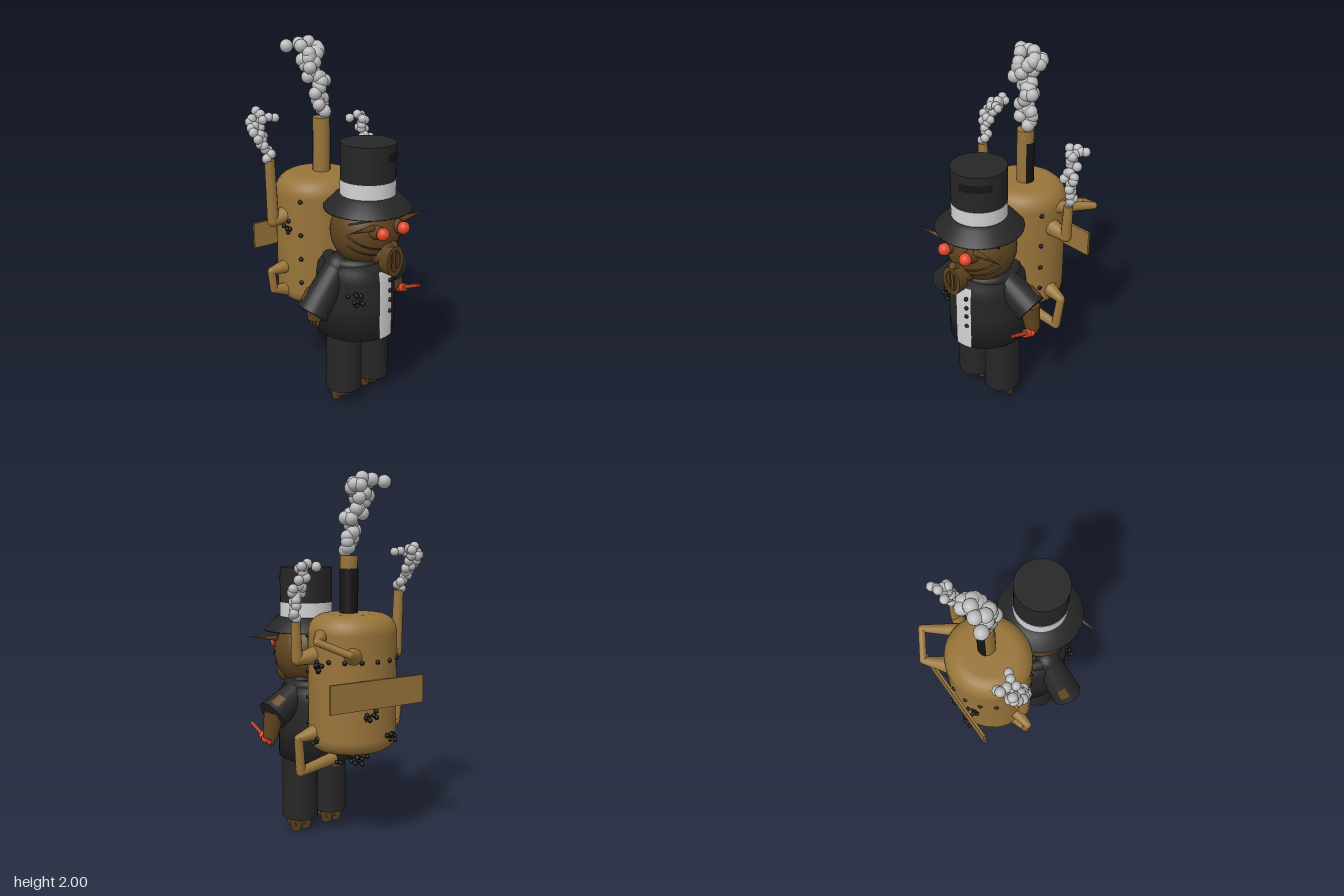
import * as THREE from 'three';

const paint = (name, color, side = THREE.FrontSide) => {
  const m = new THREE.MeshStandardMaterial({ color, side });
  m.name = name;
  return m;
};
const V = (a) => new THREE.Vector3(...a);
const UP = new THREE.Vector3(0, 1, 0);

export function createModel() {
  const brass = paint('brass', 0x98743a, THREE.DoubleSide);
  const brown = paint('dark bronze', 0x5e431f, THREE.DoubleSide);
  const black = paint('black cloth', 0x262626, THREE.DoubleSide);
  const soot = paint('soot', 0x151515, THREE.DoubleSide);
  const white = paint('white cloth', 0xd2d2d2, THREE.DoubleSide);
  const smoke = paint('smoke', 0xbcbcbc);
  const red = paint('glowing red', 0xe2472a);
  const rust = paint('rust red', 0xb03a22);
  const seam = paint('seam', 0x3c2912);

  const root = new THREE.Group();
  const add = (name, geo, mat, pos = [0, 0, 0], parent = root) => {
    const m = new THREE.Mesh(geo, mat);
    m.name = name;
    m.position.set(...pos);
    parent.add(m);
    return m;
  };
  const group = (name, pos = [0, 0, 0]) => {
    const g = new THREE.Group();
    g.name = name;
    g.position.set(...pos);
    root.add(g);
    return g;
  };
  const ball = (name, r, mat, pos, parent, seg = 12) =>
    add(name, new THREE.SphereGeometry(r, seg, Math.ceil(seg * 0.7)), mat, pos, parent);
  // tapered rod from p to q
  const rod = (name, p, q, r0, r1, mat, parent = root, sides = 20) => {
    const a = V(p), d = V(q).sub(a);
    const m = add(name, new THREE.CylinderGeometry(r1, r0, d.length(), sides), mat,
      a.clone().addScaledVector(d, 0.5).toArray(), parent);
    m.quaternion.setFromUnitVectors(UP, d.normalize());
    return m;
  };
  // chain of rods with rounded joints
  const pipe = (name, pts, radii, mat = brass) => {
    const g = group(name);
    for (let i = 0; i < pts.length - 1; i++) {
      rod(name + 'Section', pts[i], pts[i + 1], radii[i], radii[i + 1], mat, g, 12);
      if (i) ball(name + 'Joint', radii[i], mat, pts[i], g);
    }
  };
  const lathe = (pts, start = 0, len = Math.PI * 2, seg = 40) =>
    new THREE.LatheGeometry(pts.map((p) => new THREE.Vector2(...p)), seg, start, len);
  const bend = (r, h, start, len) => new THREE.CylinderGeometry(r, r, h, 16, 1, true, start, len);
  let seed = 7;
  const rand = () => (seed = (seed * 16807) % 2147483647) / 2147483647 - 0.5;

  // boiler tank with rounded ends
  const T = { x: 0, z: -0.17, rx: 0.245, rz: 0.23 };
  const profile = [[0, 0.53]];
  for (const [cy, a0] of [[0.61, -90], [1.165, 0]])
    for (let i = 0; i <= 6; i++) {
      const a = THREE.MathUtils.degToRad(a0 + i * 15), k = cy > 1 ? 0.1 : 0.08;
      profile.push([0.245 - k + k * Math.cos(a), cy + k * Math.sin(a)]);
    }
  profile.push([0, 1.268]);
  add('boilerTank', lathe(profile), brass, [T.x, 0, T.z]).scale.z = T.rz / T.rx;
  const onTank = (deg, y, out = 0) => {
    const a = THREE.MathUtils.degToRad(deg);
    return [T.x + (T.rx + out) * Math.sin(a), y, T.z + (T.rz + out) * Math.cos(a)];
  };

  // rivets and soot clumps on the tank
  const rivets = group('rivets');
  for (let d = 90; d <= 280; d += 21) ball('rivet', 0.013, soot, onTank(d, 1.03), rivets, 8);
  for (const d of [62, -62])
    for (const y of [0.68, 0.82, 0.96, 1.15]) ball('rivet', 0.013, soot, onTank(d, y), rivets, 8);
  const clump = (name, c, n = 11, s = 0.055) => {
    const g = group(name, c);
    for (let i = 0; i < n; i++) ball('sootBall', 0.013, soot, [rand() * s, rand() * s, rand() * s], g, 8);
  };
  [[98, 1.0], [88, 0.62], [165, 0.75], [195, 0.62], [-80, 0.98], [205, 0.9]].forEach(([d, y]) => clump('sootClump', onTank(d, y)));
  clump('sootClump', [0.08, 0.52, -0.22], 24, 0.1);
  clump('sootClump', [0.05, 0.53, -0.32], 16, 0.08);
  clump('coatPosy', [-0.145, 0.69, 0.305], 16, 0.07);

  // backboard
  add('backBoard', new THREE.BoxGeometry(0.59, 0.15, 0.014), brass, [0.028, 0.865, -0.405]).rotation.y = -0.102;

  // chimneys
  rod('mainChimney', [0.018, 1.22, -0.16], [0.018, 1.567, -0.16], 0.047, 0.047, brass);
  add('chimneyScorch', bend(0.05, 0.24, Math.PI * 0.25, Math.PI), soot, [0.018, 1.38, -0.16]);
  pipe('rightChimney', [[-0.2, 1.06, -0.18], [-0.305, 1.03, -0.19], [-0.317, 1.375, -0.19]], [0.055, 0.032, 0.028]);
  pipe('leftChimney', [[0.2, 1.06, -0.14], [0.335, 1.04, -0.125], [0.342, 1.235, -0.125]], [0.055, 0.03, 0.025]);

  // bent handles
  pipe('upperHandle', [[0.2, 1.16, -0.16], [0.365, 1.155, -0.33], [0.24, 1.09, -0.43], [0.13, 1.06, -0.33]],
    [0.04, 0.02, 0.02, 0.05]);
  pipe('leftLowerHandle', [[0.2, 0.65, -0.14], [0.325, 0.62, -0.12], [0.305, 0.435, -0.11], [0.08, 0.47, -0.11]],
    [0.05, 0.024, 0.026, 0.035]);
  pipe('rightLowerHandle', [[-0.2, 0.75, -0.18], [-0.335, 0.745, -0.18], [-0.32, 0.63, -0.18], [-0.2, 0.6, -0.18]],
    [0.045, 0.022, 0.022, 0.045]);

  // smoke plumes following a curve
  const plume = (name, pts, n, r, s0, s1) => {
    const g = group(name), c = new THREE.CatmullRomCurve3(pts.map(V));
    for (let i = 0; i < n; i++) {
      const t = i / (n - 1), s = s0 + (s1 - s0) * t, p = c.getPoint(t);
      ball('puff', r, smoke, [p.x + rand() * s, p.y + rand() * s * 0.3, p.z + rand() * s * 0.6], g, 14);
    }
  };
  plume('mainSmoke', [[0.02, 1.59, -0.16], [0.01, 1.74, -0.17], [-0.01, 1.86, -0.19], [-0.02, 1.945, -0.24]], 36, 0.036, 0.05, 0.16);
  for (const p of [[-0.118, 1.945, -0.28], [-0.05, 1.955, -0.26], [0.0, 1.962, -0.24], [0.055, 1.91, -0.22]])
    ball('smokePuff', 0.036, smoke, p, root, 14);
  plume('rightSmoke', [[-0.315, 1.39, -0.2], [-0.34, 1.49, -0.24], [-0.33, 1.56, -0.29], [-0.3, 1.6, -0.32]], 24, 0.026, 0.05, 0.1);
  plume('rightSmokeTip', [[-0.31, 1.58, -0.25], [-0.27, 1.59, -0.25], [-0.24, 1.585, -0.235]], 3, 0.024, 0, 0);
  plume('leftSmoke', [[0.342, 1.25, -0.125], [0.335, 1.37, -0.13], [0.33, 1.47, -0.16], [0.31, 1.54, -0.19]], 24, 0.026, 0.04, 0.1);
  ball('smokePuff', 0.025, smoke, [0.37, 1.52, -0.215], root, 14);

  // trousers and feet
  for (const [side, x] of [['right', -0.09], ['left', 0.12]]) {
    const leg = add(side + 'Trouser', new THREE.CylinderGeometry(0.096, 0.1, 0.4, 28), black, [x, 0.28, 0.148]);
    leg.scale.z = 1.06;
    add('trouserTear', bend(0.1, 0.05, 2.7, 0.6), brown, [0, 0.1, 0], leg);
    const foot = group(side + 'Foot', [x + (x < 0 ? -0.005 : 0.008), 0, 0.145]);
    for (const dx of [-0.035, 0.03])
      add('toeWedge', new THREE.CylinderGeometry(0.05, 0.028, 0.1, 5), brown, [dx, 0.05, -0.01], foot);
    add('heel', new THREE.BoxGeometry(0.11, 0.05, 0.08), brown, [0, 0.06, 0], foot);
  }

  // coat, shirt front and buttons
  const coatShape = [[0.214, 0.43], [0.214, 0.62], [0.21, 0.76], [0.2, 0.82], [0.17, 0.86], [0, 0.87]];
  const coat = group('coat', [0.003, 0, 0.138]);
  coat.scale.z = 1.06;
  add('coatBody', lathe([[0, 0.43], ...coatShape]), black, [0, 0, 0], coat);
  add('shirtFront', lathe(coatShape.slice(0, 4).map(([r, y]) => [r + 0.005, y]), -0.14, 0.46, 10), white, [0, 0, 0], coat);
  for (const y of [0.58, 0.645, 0.7, 0.76]) ball('button', 0.012, soot, [0.045, y, 0.214], coat, 8);
  const collar = add('collar', new THREE.TorusGeometry(0.15, 0.035, 10, 32), black, [0.005, 0.845, 0.14]);
  collar.rotation.x = Math.PI / 2;

  // sleeves with worn patches, forearms and fingers
  const sleeve = (side, p, q, patchAngle) => {
    const s = rod(side + 'Sleeve', p, q, 0.072, 0.09, black);
    add('wornPatch', bend(0.09, 0.07, patchAngle - 0.3, 0.6), brown, [0, 0.07, 0], s);
    ball(side + 'Shoulder', 0.078, black, p, root, 20);
  };
  sleeve('right', [-0.13, 0.82, 0.145], [-0.32, 0.6, 0.147], 2.1);
  sleeve('left', [0.1, 0.83, 0.145], [0.315, 0.695, 0.135], 4.2);
  const hand = (side, p, q) => {
    rod(side + 'Forearm', p, q, 0.06, 0.042, brown, root, 8);
    for (const dz of [-0.025, 0, 0.025])
      rod(side + 'Finger', [q[0], q[1] + 0.02, q[2] + dz], [q[0], q[1] - 0.035, q[2] + dz], 0.018, 0.008, brown, root, 6);
  };
  hand('right', [-0.29, 0.65, 0.147], [-0.3, 0.565, 0.15]);
  hand('left', [0.3, 0.71, 0.135], [0.328, 0.57, 0.14]);

  // red wand
  rod('wand', [0.333, 0.54, 0.115], [0.333, 0.625, 0.315], 0.014, 0.01, rust, root, 10);
  rod('wandGuard', [0.333, 0.568, 0.185], [0.333, 0.58, 0.212], 0.026, 0.022, red, root, 10);
  ball('wandPommel', 0.026, red, [0.338, 0.565, 0.165]);

  // head with seams, eyes and pointed brows
  const head = ball('head', 0.197, brown, [0.017, 1.02, 0.2], root, 36);
  head.scale.set(1, 0.98, 0.93);
  for (const [y, dip] of [[0.02, -0.09], [-0.04, -0.08], [0.08, 0.04]]) {
    const pts = [];
    for (let i = -6; i <= 6; i++) {
      const t = i / 6;
      pts.push(V([Math.sin(t * 1.25), (y + dip * (1 - t * t)) / 0.197, Math.cos(t * 1.25)]).normalize().multiplyScalar(0.197));
    }
    add('faceSeam', new THREE.TubeGeometry(new THREE.CatmullRomCurve3(pts), 24, 0.005, 6), seam, [0, 0, 0], head);
  }
  for (const x of [-0.056, 0.093]) {
    ball('eye', 0.034, red, [x, 1.058, 0.408], root, 20);
    rod('eyeSocket', [x, 1.055, 0.33], [x, 1.058, 0.395], 0.042, 0.034, brown);
  }
  for (const s of [-1, 1])
    rod('browSpike', [0.017 + s * 0.1, 1.085, 0.36], [0.017 + s * 0.285, 1.105, 0.382], 0.018, 0.001, brown, root, 6);

  // breathing mask: oval rim, glowing backing and vertical slats
  const mask = group('mask', [0.012, 0.9, 0.37]);
  const rim = new THREE.Shape().absellipse(0, 0, 0.06, 0.085, 0, Math.PI * 2);
  rim.holes.push(new THREE.Path().absellipse(0, 0, 0.038, 0.06, 0, Math.PI * 2));
  add('maskRim', new THREE.ExtrudeGeometry(rim, { depth: 0.065, bevelEnabled: false, curveSegments: 20 }), brown, [0, 0, 0], mask);
  const glow = add('maskGlow', new THREE.CircleGeometry(0.04, 20), red, [0, 0, 0.035], mask);
  glow.scale.y = 1.5;
  for (const x of [-0.029, -0.001, 0.027])
    add('maskSlat', new THREE.BoxGeometry(0.019, 0.115, 0.02), brown, [x, 0, 0.048], mask);
  rod('maskNeck', [0, 0.02, -0.07], [0, 0.01, 0.02], 0.07, 0.05, brown, mask);
  rod('maskValve', [0, 0.06, 0.02], [0, 0.095, 0.055], 0.03, 0.02, brown, mask, 8);

  // top hat
  const hat = group('topHat', [0.019, 0, 0.214]);
  add('hatBrim', lathe([[0.14, 1.16], [0.236, 1.142], [0.238, 1.15], [0.175, 1.215], [0.14, 1.225]]), black, [0, 0, 0], hat);
  add('hatBand', new THREE.CylinderGeometry(0.149, 0.149, 0.085, 40), white, [0, 1.26, 0], hat);
  add('hatCrown', new THREE.CylinderGeometry(0.147, 0.147, 0.2, 40), black, [0, 1.397, 0], hat);
  add('hatTear', bend(0.15, 0.042, 0, 1.2), soot, [0, 1.435, 0], hat);

  return root;
}
